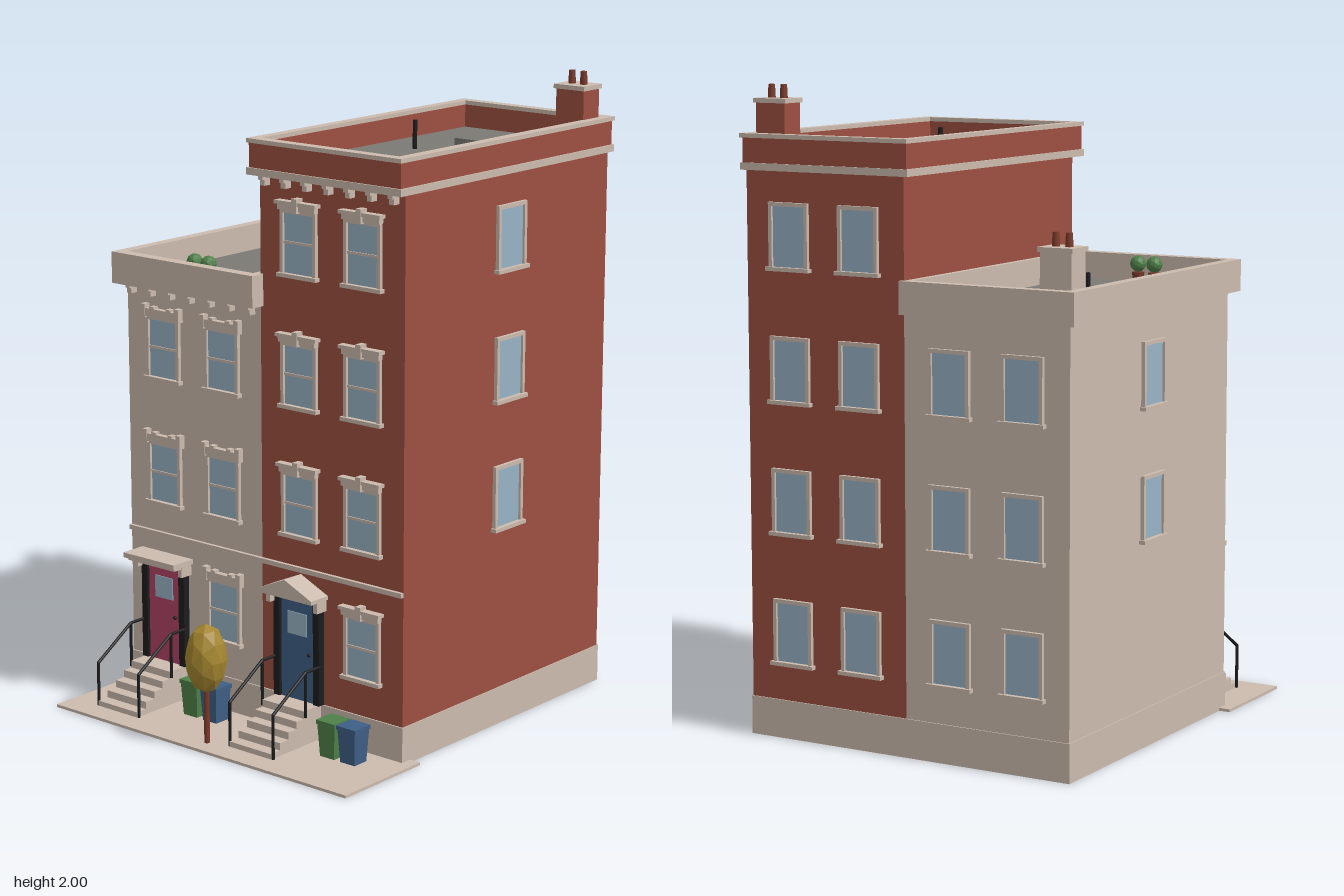
import * as THREE from 'three';

const mat = (name, color, flat = false) => {
  const m = new THREE.MeshStandardMaterial({ color, flatShading: flat });
  m.name = name;
  return m;
};

export function createModel() {
  const brick = mat('brick', 0x9c5040), cream = mat('cream stone', 0xcbbbae), grey = mat('roof grey', 0x7c7974);
  const glass = mat('glass', 0x98b3c6), black = mat('black iron', 0x1c1c1e), pink = mat('pink paint', 0xb04465);
  const blue = mat('blue paint', 0x3e5f86), green = mat('green', 0x4f8049, true);
  const gold = mat('autumn leaves', 0xa5862f, true), rust = mat('terracotta', 0x7c3a2a);

  const model = new THREE.Group();
  model.name = 'townhouses';

  const group = (name, parent = model) => {
    const g = new THREE.Group();
    g.name = name;
    parent.add(g);
    return g;
  };
  const add = (parent, name, geo, m, x = 0, y = 0, z = 0) => {
    const mesh = new THREE.Mesh(geo, m);
    mesh.name = name;
    mesh.position.set(x, y, z);
    parent.add(mesh);
    return mesh;
  };
  // box given by its minimum and maximum on each axis
  const box = (parent, name, m, x0, x1, y0, y1, z0, z1) =>
    add(parent, name, new THREE.BoxGeometry(x1 - x0, y1 - y0, z1 - z0), m, (x0 + x1) / 2, (y0 + y1) / 2, (z0 + z1) / 2);
  // upright cylinder standing on y
  const post = (parent, name, m, r, h, x, y, z, rTop = r) =>
    add(parent, name, new THREE.CylinderGeometry(rTop, r, h, 12), m, x, y + h / 2, z);
  // rectangular frame with a hole, lying flat, between y0 and y1
  const ring = (parent, name, m, [x0, x1, z0, z1], [a0, a1, c0, c1], y0, y1) => {
    const rect = (C, l, r, b, t) => new C([[l, b], [r, b], [r, t], [l, t]].map(p => new THREE.Vector2(...p)));
    const s = rect(THREE.Shape, x0, x1, -z1, -z0);
    s.holes.push(rect(THREE.Path, a0, a1, -c1, -c0));
    const g = new THREE.ExtrudeGeometry(s, { depth: y1 - y0, bevelEnabled: false });
    g.rotateX(-Math.PI / 2);
    return add(parent, name, g, m, 0, y0, 0);
  };

  // Window facing +z, its origin at the bottom middle of the sill
  const makeWindow = (parent, style, x, y, z, turn = 0) => {
    const w = group('window', parent);
    w.position.set(x, y, z);
    w.rotation.y = turn;
    box(w, 'pane', glass, -0.06, 0.06, 0.012, 0.2, -0.002, 0.004);
    for (const s of [-1, 1]) box(w, 'jamb', cream, s * 0.064 - 0.006, s * 0.064 + 0.006, 0.01, 0.205, 0, 0.012);
    box(w, 'sill', cream, -0.077, 0.077, 0, 0.012, 0, 0.02);
    box(w, 'head', cream, -0.07, 0.07, 0.195, 0.207, 0, 0.012);
    if (style === 'plain') return;
    box(w, 'sash bar', cream, -0.06, 0.06, 0.102, 0.11, 0, 0.008);
    box(w, 'lintel', cream, -0.072, 0.072, 0.205, 0.23, 0, 0.02);
    if (style === 'stepped') {
      for (const s of [-1, 1]) {
        box(w, 'hood end', cream, s * 0.071 - 0.009, s * 0.071 + 0.009, 0.2, 0.243, 0, 0.022);
        box(w, 'hood tooth', cream, s * 0.035 - 0.009, s * 0.035 + 0.009, 0.228, 0.237, 0, 0.02);
      }
    } else {
      box(w, 'hood ledge', cream, -0.08, 0.08, 0.222, 0.233, 0, 0.026);
      box(w, 'keystone', cream, -0.01, 0.01, 0.2, 0.244, 0, 0.028);
    }
  };

  const floors = [0.23, 0.635, 1.04, 1.445], front = 0.35, back = -0.655;

  // Pavement and hollow plinth
  box(model, 'pavement', cream, -0.6, 0.6, 0, 0.009, 0.315, 0.665);
  const plinth = group('plinth');
  box(plinth, 'frontPlinth', cream, -0.563, 0.563, 0, 0.12, 0.345, 0.355);
  box(plinth, 'backPlinth', cream, -0.563, 0.563, 0, 0.12, -0.659, -0.649);
  for (const x of [-0.558, 0, 0.558]) box(plinth, 'plinthWall', cream, x - 0.005, x + 0.005, 0, 0.12, -0.655, 0.35);
  box(plinth, 'innerBrickFace', brick, 0.006, 0.552, 0.01, 0.1, 0.34, 0.346);
  box(plinth, 'floor', cream, -0.553, 0.553, 0.098, 0.104, -0.65, 0.345);

  const makeHouse = (side, wall, style, wallTop, rows, brackets) => {
    const h = group(side < 0 ? 'rightHouse' : 'leftHouse');
    const [x0, x1] = side < 0 ? [-0.56, 0] : [0, 0.56];
    box(h, 'walls', wall, x0, x1, 0.1, wallTop, back, front);
    box(h, 'stringCourse', cream, x0, x1, 0.53, 0.545, front, front + 0.012);
    for (let f = 0; f < rows; f++) {
      for (const x of [side * 0.157, side * 0.405]) {
        const isDoor = f === 0 && x === (side < 0 ? -0.405 : 0.157);
        if (!isDoor) makeWindow(h, style, x, floors[f], front);
        makeWindow(h, 'plain', x, floors[f], back, Math.PI);
      }
      if (f > 0) makeWindow(h, 'plain', side * 0.56, floors[f], -0.153, side * Math.PI / 2);
    }
    // cornice brackets
    for (let i = 0; i < 7; i++) {
      const x = x0 + 0.03 + i * 0.083;
      box(h, 'bracket', cream, x - 0.009, x + 0.009, brackets - 0.03, brackets, front, front + 0.025);
      box(h, 'bracketBlock', cream, x - 0.009, x + 0.009, brackets - 0.012, brackets, front, front + 0.033);
    }
    return h;
  };
  const low = makeHouse(-1, cream, 'stepped', 1.35, 3, 1.34);
  const tall = makeHouse(1, brick, 'keyed', 1.765, 4, 1.745);

  // Parapets and roofs
  ring(low, 'parapet', cream, [-0.58, 0.01, -0.67, 0.4], [-0.545, -0.02, -0.635, 0.362], 1.34, 1.44);
  box(low, 'roof', grey, -0.55, -0.015, 1.345, 1.355, -0.64, 0.37);
  const hole = [0.012, 0.54, -0.635, 0.355];
  ring(tall, 'corniceTrim', cream, [-0.02, 0.575, -0.667, 0.39], hole, 1.745, 1.767);
  ring(tall, 'parapet', brick, [-0.014, 0.569, -0.662, 0.384], hole, 1.767, 1.842);
  ring(tall, 'coping', cream, [-0.02, 0.575, -0.67, 0.39], hole, 1.842, 1.855);
  box(tall, 'roof', grey, 0.005, 0.545, 1.76, 1.77, -0.64, 0.36);

  // Chimneys, roof hatches, vent pipes
  const makeChimney = (parent, x, m, y0, y1) => {
    const c = group('chimney', parent);
    box(c, 'stack', m, x - 0.052, x + 0.052, y0, y1, -0.623, -0.541);
    box(c, 'chimneyCap', cream, x - 0.058, x + 0.058, y1, y1 + 0.014, -0.629, -0.535);
    for (const s of [-1, 1]) post(c, 'chimneyPot', rust, 0.012, 0.042, x + s * 0.022, y1 + 0.013, -0.582, 0.01);
  };
  makeChimney(low, -0.493, cream, 1.35, 1.545);
  makeChimney(tall, 0.493, brick, 1.76, 1.945);
  box(low, 'roofHatch', grey, -0.385, -0.26, 1.35, 1.395, -0.19, -0.1);
  box(tall, 'roofHatch', grey, 0.28, 0.405, 1.765, 1.81, -0.325, -0.235);
  post(low, 'ventPipe', black, 0.007, 0.095, -0.402, 1.355, -0.267);
  post(tall, 'ventPipe', black, 0.007, 0.092, 0.163, 1.768, -0.187);

  // Potted roof plants
  for (const x of [-0.338, -0.28]) {
    const p = group('pottedPlant', low);
    post(p, 'pot', rust, 0.014, 0.04, x, 1.355, 0.278, 0.02);
    add(p, 'foliage', new THREE.IcosahedronGeometry(0.026, 1), green, x, 1.421, 0.278);
  }

  // Entrance: door, surround, steps and railings
  const makeEntrance = (x, paint, gabled) => {
    const e = group('entrance');
    e.position.x = x;
    box(e, 'doorSurround', black, -0.09, 0.09, 0.12, 0.458, 0.345, 0.362);
    box(e, 'door', paint, -0.066, 0.066, 0.12, 0.44, 0.358, 0.366);
    box(e, 'doorPane', glass, -0.038, 0.038, 0.33, 0.402, 0.362, 0.369);
    for (const s of [-1, 1]) box(e, 'pilaster', black, s * 0.08 - 0.012, s * 0.08 + 0.012, 0.12, 0.455, 0.35, 0.374);
    add(e, 'doorKnob', new THREE.SphereGeometry(0.006, 10, 8), black, 0.048, 0.275, 0.37);
    if (gabled) {
      const tri = new THREE.Shape([[-0.108, 0.462], [0.108, 0.462], [0.108, 0.474], [0, 0.522], [-0.108, 0.474]]
        .map(p => new THREE.Vector2(...p)));
      add(e, 'pediment', new THREE.ExtrudeGeometry(tri, { depth: 0.078, bevelEnabled: false }), cream, 0, 0, front);
    } else {
      box(e, 'doorHood', cream, -0.11, 0.11, 0.462, 0.478, front, 0.438);
      box(e, 'hoodMoulding', cream, -0.1, 0.1, 0.452, 0.463, front, 0.425);
    }
    for (const s of [-1, 1])
      box(e, 'hoodBracket', cream, s * 0.095 - 0.008, s * 0.095 + 0.008, 0.425, 0.463, front, 0.395);

    [0.436, 0.47, 0.508, 0.547, 0.588].forEach((z, i) =>
      box(e, 'step', cream, -0.085, 0.085, 0, 0.12 - i * 0.0235, front, z));

    for (const s of [-1, 1]) {
      const r = group('railing', e), rx = s * 0.088;
      const pts = [[0.15, 0.582], [0.245, 0.432], [0.245, 0.355]].map(([y, z]) => new THREE.Vector3(rx, y, z));
      for (let i = 0; i < 2; i++)
        add(r, 'handrail', new THREE.TubeGeometry(new THREE.LineCurve3(pts[i], pts[i + 1]), 1, 0.005, 8), black);
      pts.slice(0, 2).forEach(p => {
        add(r, 'railJoint', new THREE.SphereGeometry(0.005, 8, 6), black, p.x, p.y, p.z);
      });
      post(r, 'lowerPost', black, 0.005, 0.142, rx, 0.008, 0.582);
      post(r, 'upperPost', black, 0.005, 0.145, rx, 0.1, 0.432);
    }
  };
  makeEntrance(-0.405, pink, false);
  makeEntrance(0.157, blue, true);

  // Wheeled bins with tapered bodies
  const makeBin = (x, m) => {
    const b = group('bin');
    const g = new THREE.CylinderGeometry(0.034 * Math.SQRT2, 0.028 * Math.SQRT2, 0.106, 4, 1);
    g.rotateY(Math.PI / 4);
    const body = new THREE.Mesh(g.toNonIndexed(), m);
    body.geometry.computeVertexNormals();
    body.name = 'binBody';
    body.position.set(x, 0.062, 0.44);
    b.add(body);
    box(b, 'binLid', m, x - 0.037, x + 0.037, 0.113, 0.126, 0.404, 0.477);
  };
  [[-0.203, green], [-0.121, blue], [0.362, green], [0.442, blue]].forEach(([x, m]) => makeBin(x, m));

  // Street tree
  const tree = group('tree');
  post(tree, 'trunk', rust, 0.009, 0.2, -0.005, 0.005, 0.605);
  add(tree, 'crown', new THREE.IcosahedronGeometry(1, 1), gold, -0.005, 0.281, 0.605).scale.set(0.066, 0.111, 0.066);

  return model;
}
